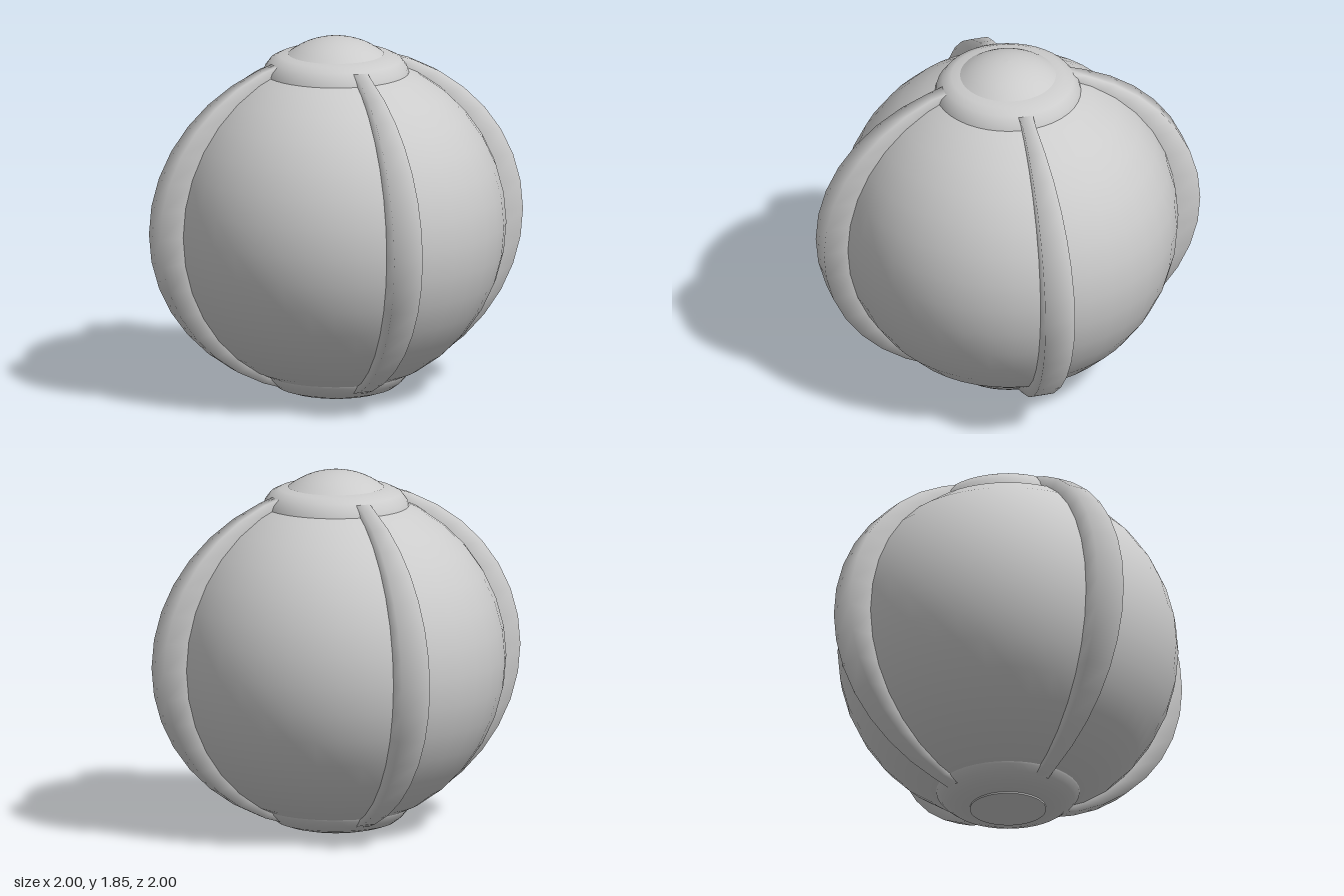
import * as THREE from 'three';

const SEGMENTS = 40;
const MID_Y = 0.885;
const rad = THREE.MathUtils.degToRad;
const material = new THREE.MeshStandardMaterial({ color: 0xcccccc });

function part(name, geometry) {
  const mesh = new THREE.Mesh(geometry, material);
  mesh.name = name;
  return mesh;
}

// Profile of [radius, y] pairs, listed from bottom to top
function lathe(name, profile) {
  const points = profile.map(([r, y]) => new THREE.Vector2(r, y));
  return part(name, new THREE.LatheGeometry(points, SEGMENTS, rad(-1)));
}

// Arc of [radius, y] pairs from angle a to b above the horizontal
function arc(radius, centerY, a, b, steps) {
  return Array.from({ length: steps + 1 }, (_, i) => {
    const t = rad(a + ((b - a) * i) / steps);
    return [Math.max(0, radius * Math.cos(t)), centerY + radius * Math.sin(t)];
  });
}

// Raised meridian band: a four-cornered section swept from bottom to top
function ribGeometry() {
  const positions = [];
  const index = [];
  const rows = 16;
  for (let i = 0; i <= rows; i++) {
    const t = rad(-75 + (150 * i) / rows);
    const c = Math.cos(t);
    const s = Math.sin(t);
    // flare into the collars at both ends
    const flare = 5 * Math.max(0, (0.42 - c) / 0.16);
    const left = rad(-10 - flare);
    const right = rad(-1 + flare);
    const inner = [0.85 * c, MID_Y + 0.85 * s];
    const outer = [c, MID_Y + 0.9 * s - (s < 0 ? 0.015 * s : 0)];
    for (const [[r, y], a] of [[inner, left], [outer, left], [outer, right], [inner, right]]) {
      positions.push(r * Math.sin(a), y, r * Math.cos(a));
    }
    if (i === rows) continue;
    for (let k = 0; k < 3; k++) {
      const p = i * 4 + k;
      index.push(p, p + 1, p + 5, p, p + 5, p + 4);
    }
  }
  const geometry = new THREE.BufferGeometry();
  geometry.setAttribute('position', new THREE.Float32BufferAttribute(positions, 3));
  geometry.setIndex(index);
  geometry.computeVertexNormals();
  return geometry;
}

export function createModel() {
  const model = new THREE.Group();
  model.name = 'ribbedBall';

  // Round body
  model.add(lathe('body', arc(0.87, MID_Y, -90, 90, 18)));

  // Four ribs
  const rib = ribGeometry();
  ['frontRib', 'leftRib', 'backRib', 'rightRib'].forEach((name, i) => {
    const mesh = part(name, rib);
    mesh.rotation.y = (i * Math.PI) / 2;
    model.add(mesh);
  });

  // Collars around both poles
  model.add(lathe('topCollar', [
    [0.375, 1.66], [0.365, 1.695], [0.335, 1.735], [0.29, 1.757], [0.235, 1.764],
  ]));
  model.add(lathe('bottomCollar', [
    [0.19, 0.008], [0.25, 0.013], [0.3, 0.03], [0.34, 0.06], [0.365, 0.09], [0.37, 0.11],
  ]));

  // Domed cap on top, flat foot below
  const capRadius = 0.395;
  const capAngle = THREE.MathUtils.radToDeg(Math.acos(0.245 / capRadius));
  model.add(lathe('cap', arc(capRadius, 1.85 - capRadius, capAngle, 90, 8)));
  model.add(lathe('capUnderside', [[0.001, 1.763], [0.245, 1.763]]));
  const foot = part('foot', new THREE.CylinderGeometry(0.195, 0.195, 0.03, SEGMENTS));
  foot.position.y = 0.015;
  model.add(foot);

  return model;
}
